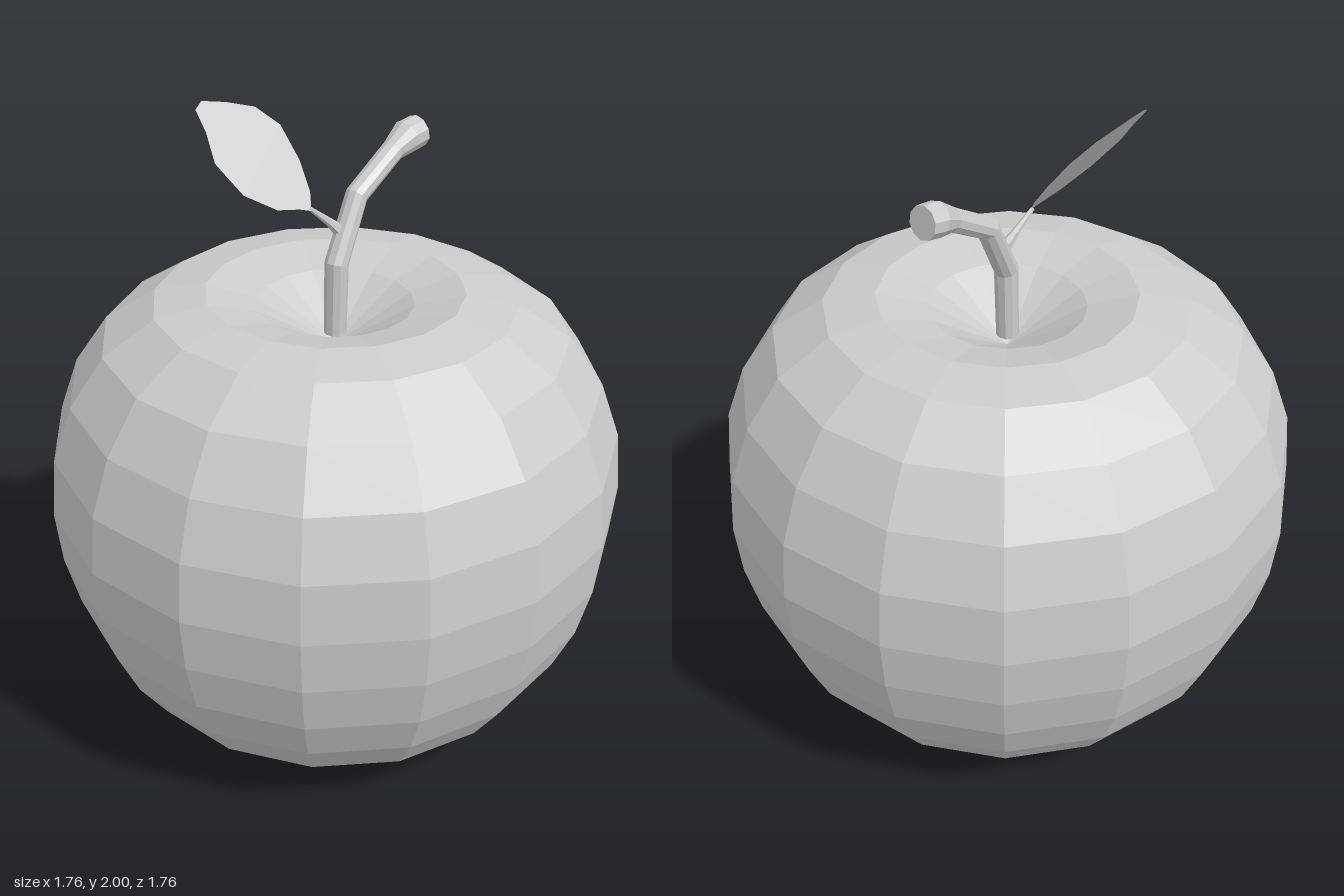
import * as THREE from 'three';

const material = new THREE.MeshStandardMaterial({ color: 0xcccccc, flatShading: true, side: THREE.DoubleSide });

function part(name, geometry) {
  const mesh = new THREE.Mesh(geometry, material);
  mesh.name = name;
  return mesh;
}

// Capped tube through rings [x, y, z, radius]
function taperedTube(rings, sides) {
  const centres = rings.map(([x, y, z]) => new THREE.Vector3(x, y, z));
  const positions = [];
  const index = [];
  const last = rings.length - 1;
  centres.forEach((c, i) => {
    const before = centres[Math.max(i - 1, 0)];
    const after = centres[Math.min(i + 1, last)];
    const tangent = after.clone().sub(before).normalize();
    const u = new THREE.Vector3(0, 0, 1).cross(tangent).normalize();
    const v = tangent.clone().cross(u);
    for (let j = 0; j < sides; j++) {
      const a = (j / sides) * Math.PI * 2;
      const p = c.clone()
        .addScaledVector(u, Math.cos(a) * rings[i][3])
        .addScaledVector(v, Math.sin(a) * rings[i][3]);
      positions.push(p.x, p.y, p.z);
      if (i < last) {
        const k = (j + 1) % sides;
        const p0 = i * sides + j, p1 = i * sides + k;
        index.push(p0, p1, p1 + sides, p0, p1 + sides, p0 + sides);
      }
    }
  });
  // End caps
  for (let j = 1; j < sides - 1; j++) {
    index.push(0, j + 1, j);
    index.push(last * sides, last * sides + j, last * sides + j + 1);
  }
  const geometry = new THREE.BufferGeometry();
  geometry.setAttribute('position', new THREE.Float32BufferAttribute(positions, 3));
  geometry.setIndex(index);
  geometry.computeVertexNormals();
  return geometry;
}

export function createModel() {
  const model = new THREE.Group();
  model.name = 'apple';

  // Faceted fruit with a dimple at each end
  const profile = [
    [0, 0.05], [0.19, 0.02], [0.385, 0], [0.535, 0.085], [0.67, 0.195], [0.76, 0.33],
    [0.825, 0.48], [0.865, 0.645], [0.88, 0.815], [0.862, 0.995], [0.8, 1.165],
    [0.695, 1.315], [0.54, 1.415], [0.385, 1.44], [0.235, 1.4], [0, 1.26],
  ].map(([r, y]) => new THREE.Vector2(r, y));
  model.add(part('fruit', new THREE.LatheGeometry(profile, 16)));

  // Bent stem with a flared end
  model.add(part('stem', taperedTube([
    [0, 1.3, 0, 0.034], [0.005, 1.52, 0, 0.036], [0.1, 1.7, -0.025, 0.034],
    [0.255, 1.795, -0.047, 0.034], [0.315, 1.822, -0.055, 0.05], [0.363, 1.83, -0.058, 0.048],
  ], 10)));

  // Thin stalk joining the leaf to the stem
  model.add(part('leafStalk', taperedTube([
    [0.04, 1.6, -0.015, 0.022], [-0.005, 1.645, -0.025, 0.012], [-0.07, 1.7, -0.03, 0.006],
  ], 6)));

  // Leaf outline, leaned backwards
  const outline = [
    [-0.068, 1.693], [-0.045, 1.735], [-0.035, 1.81], [-0.05, 1.9], [-0.11, 1.955],
    [-0.2, 1.983], [-0.278, 2], [-0.308, 1.985], [-0.305, 1.93], [-0.318, 1.86],
    [-0.27, 1.775], [-0.18, 1.72], [-0.105, 1.705],
  ].map(([x, y]) => new THREE.Vector2(x, y));
  const leaf = new THREE.ShapeGeometry(new THREE.Shape(outline));
  const pos = leaf.attributes.position;
  for (let i = 0; i < pos.count; i++) {
    pos.setZ(i, -0.035 - 0.78 * (pos.getY(i) - 1.7) - 0.1 * pos.getX(i));
  }
  leaf.computeVertexNormals();
  model.add(part('leaf', leaf));

  return model;
}
